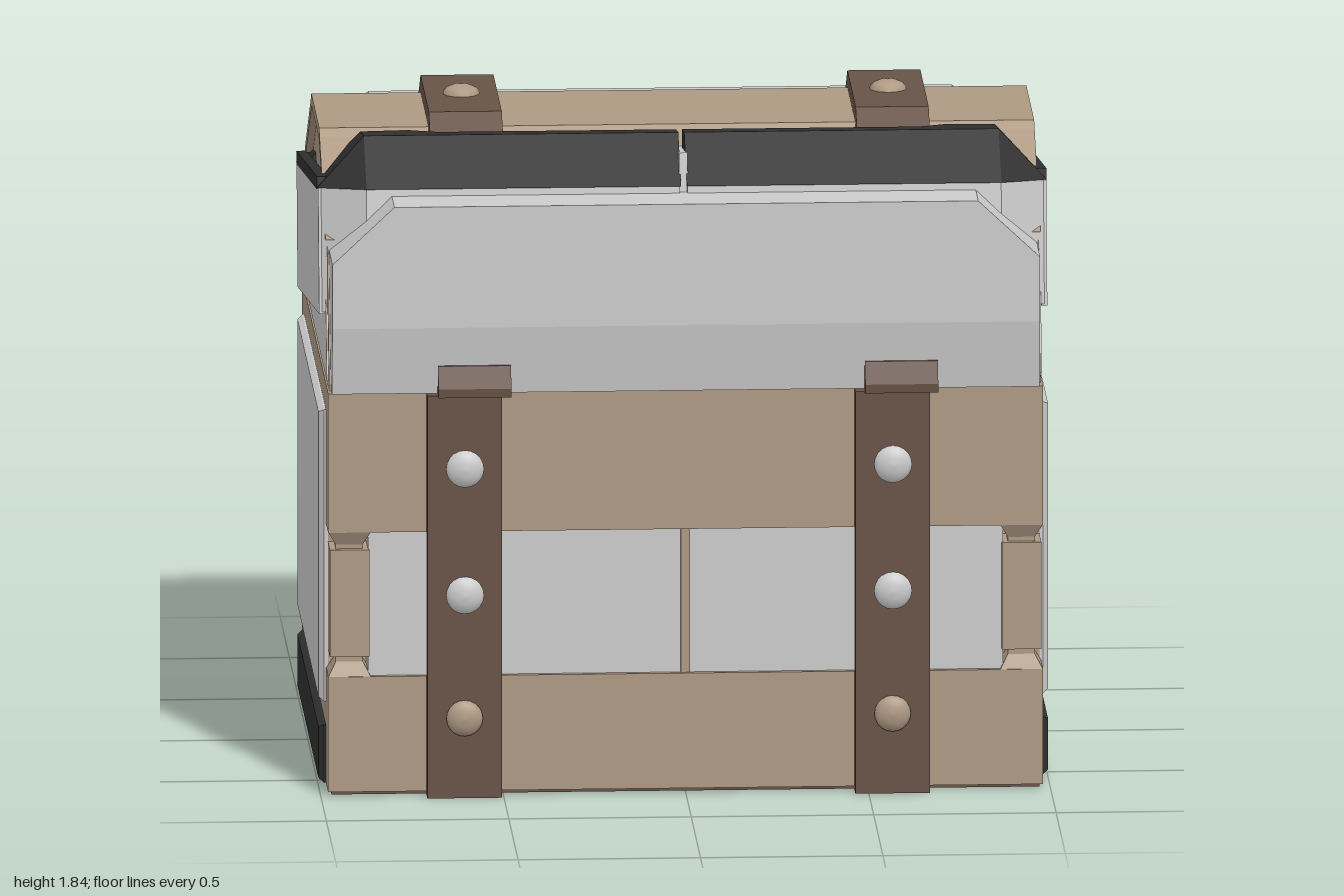
import * as THREE from 'three';
import { ConvexGeometry } from 'three/addons/geometries/ConvexGeometry.js';

const mat = (color) => new THREE.MeshStandardMaterial({ color, flatShading: true });
const grey = mat(0xcccccc), wood = mat(0xae9983), brown = mat(0x685347), dark = mat(0x303030);

function add(parent, name, geometry, material) {
  const mesh = new THREE.Mesh(geometry, material);
  mesh.name = name;
  parent.add(mesh);
  return mesh;
}

// Box given by its lower and upper limits
function box(parent, name, material, x0, x1, y0, y1, z0, z1) {
  const mesh = add(parent, name, new THREE.BoxGeometry(x1 - x0, y1 - y0, z1 - z0), material);
  mesh.position.set((x0 + x1) / 2, (y0 + y1) / 2, (z0 + z1) / 2);
  return mesh;
}

// Convex solid around a few [x, y, z] corners
const hull = (parent, name, material, pts) =>
  add(parent, name, new ConvexGeometry(pts.map((p) => new THREE.Vector3(...p))), material);

// [z, y] outline extruded along x, centred on cx
function alongX(parent, name, material, outline, width, cx = 0) {
  const shape = new THREE.Shape(outline.map((p) => new THREE.Vector2(...p)));
  const g = new THREE.ExtrudeGeometry(shape, { depth: width, bevelEnabled: false });
  g.translate(0, 0, -width / 2).rotateY(-Math.PI / 2).translate(cx, 0, 0);
  return add(parent, name, g, material);
}

// Rivet whose head points along +y
function rivet(parent, name, color, profile) {
  const g = new THREE.LatheGeometry(profile.map((p) => new THREE.Vector2(...p)), 20);
  return add(parent, name, g, new THREE.MeshStandardMaterial({ color }));
}
const steelProfile = [[0.028, -0.01], [0.028, 0.015], [0.052, 0.018], [0.052, 0.026], [0.04, 0.038], [0.02, 0.045], [0, 0.047]];
const domeProfile = [[0.05, -0.01], [0.05, 0.006], [0.04, 0.016], [0.022, 0.024], [0, 0.026]];

// Tapered plate standing proud of the side wall
function sidePlate(parent, name, material, s, y0, y1) {
  const pts = [];
  for (const [x, inset] of [[0.97, 0], [0.985, 0], [1, 0.02]])
    for (const z of [-0.585 + inset, 0.585 - inset])
      for (const y of [y0 + inset / 2, y1 - inset / 2]) pts.push([s * x, y, z]);
  hull(parent, name, material, pts);
}

function buildBody() {
  const body = new THREE.Group();
  body.name = 'body';
  box(body, 'floor', brown, -0.97, 0.97, 0.003, 0.02, -0.69, 0.69);
  box(body, 'lowerBand', wood, -0.98, 0.98, 0.012, 0.335, -0.7, 0.7);
  box(body, 'upperBand', wood, -0.98, 0.98, 0.74, 1.13, -0.7, 0.7);
  box(body, 'middlePanel', grey, -0.87, 0.87, 0.33, 0.745, -0.685, 0.685);
  box(body, 'sideWall', wood, -0.975, 0.975, 0.33, 0.745, -0.585, 0.585);
  box(body, 'panelSeam', wood, -0.013, 0.013, 0.335, 0.74, -0.69, 0.69);

  for (const s of [-1, 1]) {
    sidePlate(body, 'sidePanel', grey, s, 0.24, 1.06);
    sidePlate(body, 'sideFoot', dark, s, 0.012, 0.175);
    // Corner posts pinched at both ends
    for (const f of [-1, 1]) {
      const x = s * 0.921, z = f * 0.64;
      box(body, 'cornerPost', wood, x - 0.054, x + 0.054, 0.39, 0.69, z - 0.054, z + 0.054);
      for (const [y, top, bottom] of [[0.72, 0.058, 0.036], [0.355, 0.036, 0.058]]) {
        const g = new THREE.CylinderGeometry(top * Math.SQRT2, bottom * Math.SQRT2, 0.04, 4);
        add(body, 'postTaper', g.rotateY(Math.PI / 4), wood).position.set(x, y, z);
      }
      box(body, 'postNeck', wood, x - 0.037, x + 0.037, 0.335, 0.74, z - 0.037, z + 0.037);
    }
  }
  return body;
}

// Straps, clips and rivets of one long wall
function buildWallStraps() {
  const straps = new THREE.Group();
  straps.name = 'wallStraps';
  for (const x of [-0.608, 0.565]) {
    box(straps, 'strap', brown, x - 0.102, x + 0.102, 0, 1.13, 0.69, 0.74);
    for (const y of [0.225, 0.575, 0.93]) {
      const low = y < 0.3;
      const r = rivet(straps, 'rivet', low ? 0xae9983 : 0xcccccc, low ? domeProfile : steelProfile);
      r.position.set(x, y, 0.74);
      r.rotation.x = Math.PI / 2;
    }
  }
  for (const x of [-0.58, 0.59]) {
    const pts = [];
    for (const dx of [-0.1, 0.1])
      for (const [y, z] of [[1.125, 0.67], [1.125, 0.745], [1.15, 0.748], [1.21, 0.725], [1.21, 0.69]])
        pts.push([x + dx, y, z]);
    hull(straps, 'strapClip', brown, pts);
  }
  return straps;
}

// Upright chest block with clipped top corners
function buildUpperBlock() {
  const block = new THREE.Group();
  block.name = 'upperBlock';
  const pts = [];
  for (const s of [-1, 1])
    for (const [x, y, front, back] of [[0.97, 1.13, 0.705, -0.67], [0.97, 1.32, 0.735, -0.685],
      [0.97, 1.5, 0.735, -0.69], [0.8, 1.66, 0.735, -0.69]])
      pts.push([s * x, y, front], [s * x, y, back]);
  hull(block, 'blockShell', grey, pts);
  alongX(block, 'sideFrame', wood, [[0.66, 1.13], [0.54, 1.54], [-0.54, 1.45], [-0.66, 1.13]], 1.95);
  alongX(block, 'sideInset', grey, [[0.63, 1.15], [0.525, 1.52], [-0.52, 1.43], [-0.63, 1.15]], 1.96);
  return block;
}

// Tilted lid: chamfered grey halves with a dark rim
function buildLid() {
  const lid = new THREE.Group();
  lid.name = 'lid';
  lid.position.set(0, 1.57, -0.07);
  lid.rotation.x = -0.163;
  for (const s of [-1, 1]) {
    const shell = [];
    for (const f of [-1, 1]) {
      for (const [x, z] of [[0.01, 0.675], [0.87, 0.675], [0.99, 0.59]])
        shell.push([s * x, 0.0, f * z], [s * x, -0.34, f * z]);

      // Dark rim: centre piece and wider corner piece
      hull(lid, 'rimCentre', dark, [
        ...[0.008, 0.7].flatMap((x) => [[s * x, 0, f * 0.69], [s * x, 0.14, f * 0.56],
          [s * x, 0.14, f * 0.43], [s * x, 0, f * 0.43]])]);
      hull(lid, 'rimCorner', dark, [
        [s * 0.66, 0, f * 0.69], [s * 0.66, 0.14, f * 0.56], [s * 0.66, 0.14, f * 0.43], [s * 0.66, 0, f * 0.43],
        [s * 0.74, 0.14, f * 0.33], [s * 0.74, 0, f * 0.33], [s * 0.87, 0, f * 0.69], [s * 0.87, 0.14, f * 0.56],
        [s * 0.87, 0.14, f * 0.37], [s * 1, 0, f * 0.58], [s * 1, 0, f * 0.24]]);
    }
    hull(lid, 'lidShell', grey, shell);
    // Side panel and thin side rim
    box(lid, 'lidSidePanel', grey, s * 0.99 - 0.008, s * 0.99 + 0.008, -0.345, 0, -0.59, 0.59);
    box(lid, 'sideRim', dark, s * 0.985 - 0.015, s * 0.985 + 0.015, -0.005, 0.03, -0.56, 0.56);
  }
  box(lid, 'lidSeam', grey, -0.012, 0.012, -0.33, 0.09, -0.66, 0.66);
  return lid;
}

// Wooden arch over the lid with two bent straps
function buildArch() {
  const arch = new THREE.Group();
  arch.name = 'arch';
  const mirror = (half) => [...half, ...half.map(([z, y]) => [-z, y]).reverse()];
  const outer = mirror([[0.56, 1.53], [0.235, 1.745], [0.21, 1.765]]);
  const inner = mirror([[0.51, 1.53], [0.2, 1.735]]);
  alongX(arch, 'archRim', wood, [...outer, ...inner.reverse()], 1.96);
  alongX(arch, 'archCore', wood, mirror([[0.53, 1.53], [0.205, 1.745]]), 1.92);

  const strapTop = mirror([[0.44, 1.655], [0.225, 1.81]]);
  const strapBottom = mirror([[0.42, 1.61], [0.2, 1.755]]);
  for (const x of [-0.58, 0.59]) {
    alongX(arch, 'archStrap', brown, [...strapTop, ...strapBottom.reverse()], 0.2, x);
    for (const [y, z, tilt] of [[1.81, 0, 0], [1.68, -0.405, -0.62], [1.68, 0.405, 0.62]]) {
      const r = rivet(arch, 'archRivet', 0xae9983, domeProfile);
      r.position.set(x, y, z);
      r.rotation.x = tilt;
    }
  }
  return arch;
}

export function createModel() {
  const model = new THREE.Group();
  model.name = 'chest';
  const front = buildWallStraps(), back = buildWallStraps();
  back.rotation.y = Math.PI;
  model.add(buildBody(), front, back, buildUpperBlock(), buildLid(), buildArch());
  return model;
}
